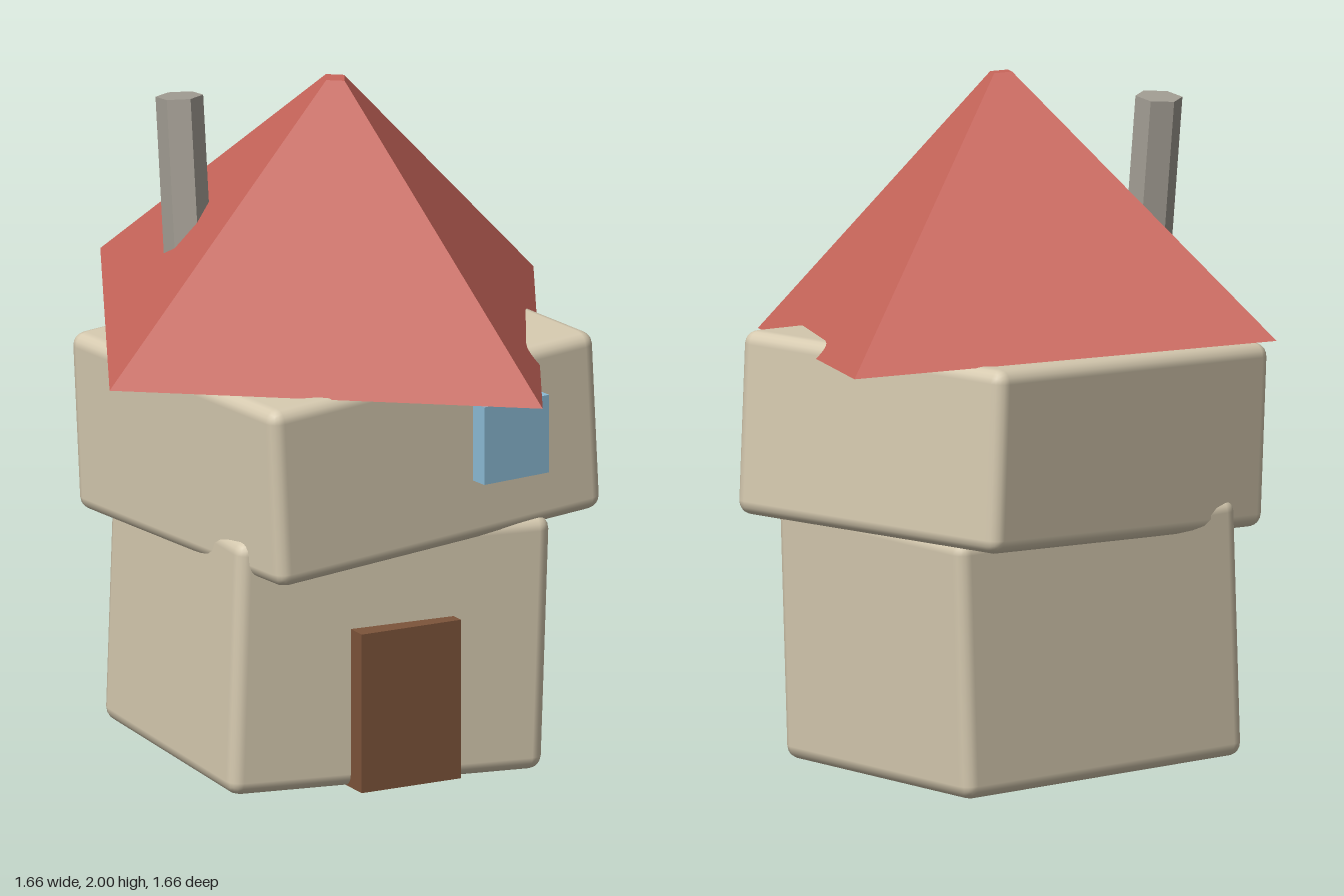
import * as THREE from 'three';
import { RoundedBoxGeometry } from 'three/addons/geometries/RoundedBoxGeometry.js';

export function createModel() {
  const house = new THREE.Group();
  house.name = 'crookedHouse';

  const paint = (color, flatShading = false) => new THREE.MeshStandardMaterial({ color, flatShading });
  const wall = paint(0xd6cab0);

  function add(name, geometry, material, position, rotation = [0, 0, 0]) {
    const mesh = new THREE.Mesh(geometry, material);
    mesh.name = name;
    mesh.position.set(...position);
    mesh.rotation.set(...rotation);
    house.add(mesh);
    return mesh;
  }

  // Two soft-edged storeys, each twisted and leaning its own way
  add('lowerStorey', new RoundedBoxGeometry(0.98, 0.75, 0.9, 2, 0.04), wall,
    [0.005, 0.392, 0.025], [0, -0.07, -0.035]);
  add('upperStorey', new RoundedBoxGeometry(1.125, 0.53, 1.025, 2, 0.04), wall,
    [0.035, 0.972, 0.022], [0, 0.115, 0.052]);

  // Four-sided roof with a tiny flat tip: turned first, then tipped forward
  const roofGeometry = new THREE.CylinderGeometry(0.037, 0.873, 0.757, 4);
  roofGeometry.translate(0, 0.757 / 2, 0);
  add('roof', roofGeometry, paint(0xc9665b, true), [0, 1.242, 0], [0.068, 0.314, -0.022, 'XZY']);

  // Six-sided chimney leaning back, hung from its top
  const chimneyGeometry = new THREE.CylinderGeometry(0.068, 0.068, 0.5, 6);
  chimneyGeometry.translate(0, -0.25, 0);
  add('chimney', chimneyGeometry, paint(0xa39e94, true), [-0.34, 1.922, -0.222], [-0.11, 0, 0]);

  // Door and window slabs set into the walls
  add('door', new THREE.BoxGeometry(0.32, 0.47, 0.1), paint(0x7d543a), [0.005, 0.257, 0.48]);
  add('window', new THREE.BoxGeometry(0.225, 0.23, 0.1), paint(0x8bbad4), [0.324, 1.01, 0.51], [0, 0.115, 0]);

  return house;
}
